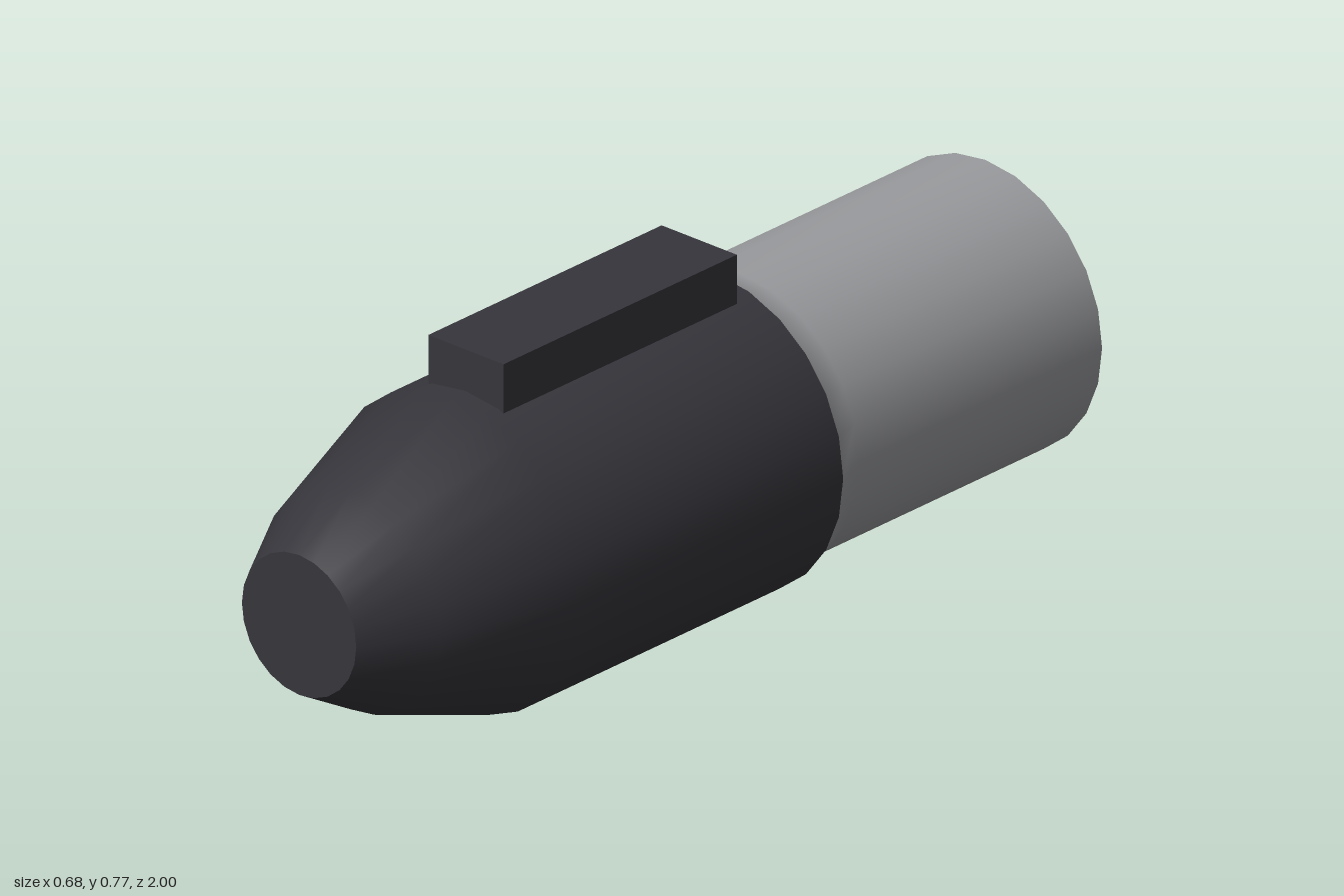
import * as THREE from 'three';

const AXIS_Y = 0.339;   // height of the long axis
const SIDES = 24;

const dark = new THREE.MeshStandardMaterial({ color: 0x36353b });
dark.name = 'charcoal';
const grey = new THREE.MeshStandardMaterial({ color: 0x9b9c9f });
grey.name = 'silver grey';

// Regular polygon points matching the lathe's vertices
function ring(radius, sides, cx = 0, cy = 0) {
  return Array.from({ length: sides }, (_, i) => {
    const a = (i / sides) * Math.PI * 2;
    return new THREE.Vector2(cx + Math.cos(a) * radius, cy + Math.sin(a) * radius);
  });
}

// Revolves [radius, z] pairs around the z axis
function turned(profile, sides) {
  const points = profile.map(([r, z]) => new THREE.Vector2(r, z));
  return new THREE.LatheGeometry(points, sides).rotateX(Math.PI / 2);
}

export function createModel() {
  const model = new THREE.Group();
  const add = (name, geometry, material, x = 0, y = AXIS_Y, z = 0) => {
    const mesh = new THREE.Mesh(geometry, material);
    mesh.name = name;
    mesh.position.set(x, y, z);
    model.add(mesh);
    return mesh;
  };

  // Dark housing tapering to a flat nose
  add('housing', turned([[0.338, -0.215], [0.338, 0.548], [0.237, 0.848], [0.152, 1]], SIDES), dark);
  add('noseCap', new THREE.CircleGeometry(0.152, SIDES), dark, 0, AXIS_Y, 1);

  // Grey sleeve with a flared collar
  add('sleeve', turned([[0.31, -1], [0.31, -0.29], [0.338, -0.215]], SIDES), grey);

  // Rear face pierced by four sockets
  const holeRadius = 0.043, spacing = 0.12;
  const face = new THREE.Shape(ring(0.31, SIDES));
  for (const x of [-spacing, spacing]) {
    for (const y of [-spacing, spacing]) {
      face.holes.push(new THREE.Path(ring(holeRadius, 12, x, y)));
      // Inward-facing socket wall and floor
      add('socket', turned([[0, -0.7], [holeRadius, -0.7], [holeRadius, -1]], 12), dark, x, AXIS_Y + y);
    }
  }
  add('rearFace', new THREE.ShapeGeometry(face).rotateY(Math.PI), grey, 0, AXIS_Y, -1);

  // Raised key block along the top
  add('keyBlock', new THREE.BoxGeometry(0.2, 0.167, 0.68), dark, 0, 0.6835, 0.174);

  return model;
}
